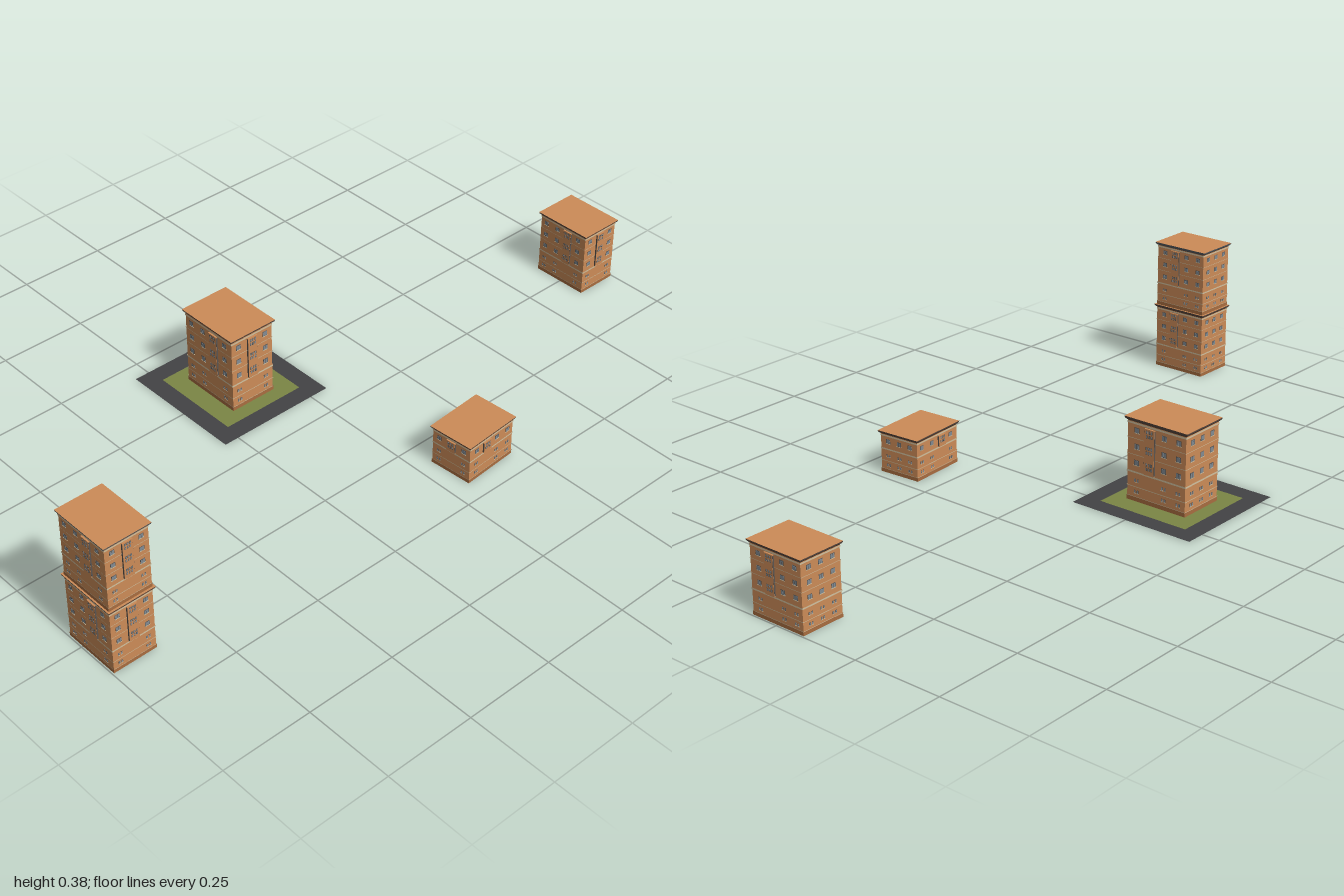
import * as THREE from 'three';
import { mergeGeometries } from 'three/addons/utils/BufferGeometryUtils.js';

const material = (name, color, side = THREE.FrontSide) => {
  const m = new THREE.MeshStandardMaterial({ color, side });
  m.name = name;
  return m;
};

const W = 0.121, D = 0.163, BASE = 0.0705, FLOOR = 0.0368, CORNICE = 0.009;

export function createModel() {
  const mats = {
    brick: material('brick', 0xcd8c58, THREE.DoubleSide),
    plinth: material('plinth brown', 0xa96d40, THREE.DoubleSide),
    trim: material('pale stone', 0xd2c2a0, THREE.DoubleSide),
    frame: material('window frame', 0x5a5450),
    glass: material('glass', 0x828c94),
    slate: material('slate grey', 0x5c6064, THREE.DoubleSide),
    brown: material('dark brown', 0x5e4c42, THREE.DoubleSide),
    road: material('asphalt', 0x434345, THREE.DoubleSide),
    grass: material('grass', 0x7b8645, THREE.DoubleSide),
  };
  const model = new THREE.Group();

  // Open rectangular tube or flare between two heights
  function ring(w0, d0, y0, w1, d1, y1) {
    const p = new THREE.BoxGeometry(1, 1, 1).toNonIndexed().attributes.position;
    const kept = [];
    for (let i = 0; i < p.count; i++) {
      if (i >= 12 && i < 24) continue; // leave out top and bottom
      const up = p.getY(i) > 0;
      kept.push(p.getX(i) * (up ? w1 : w0), up ? y1 : y0, p.getZ(i) * (up ? d1 : d0));
    }
    const out = new THREE.BufferGeometry();
    out.setAttribute('position', new THREE.Float32BufferAttribute(kept, 3));
    out.computeVertexNormals();
    return out;
  }

  function building(name, floors, corniceMat) {
    const group = new THREE.Group();
    group.name = name;
    const top = BASE + floors * FLOOR, H = top + CORNICE;
    const details = { brick: [], plinth: [], trim: [], frame: [], glass: [] };

    // Adds boxes onto one wall: u along it, y up, n outward from its face
    const wall = (angle, half) => (kind, w, h, d, u, y, n) => {
      const g = new THREE.BoxGeometry(w, h, d);
      g.translate(u, y, half + n);
      g.rotateY(angle);
      details[kind].push(g);
    };

    function windowUnit(put, u, y, w, h) {
      put('frame', w, h, 0.0012, u, y, 0);
      for (const s of [-1, 1])
        put('glass', w * 0.4, h * 0.82, 0.0018, u + s * w * 0.23, y, 0);
      put('trim', w * 1.15, 0.0012, 0.0025, u, y - h / 2, 0);
    }

    function facade(angle, length, half, columns, bayAt) {
      const put = wall(angle, half);
      // Small paired windows on the two lower storeys
      for (const y of [0.022, 0.048])
        for (const f of columns)
          for (const s of [-1, 1])
            windowUnit(put, (f - 0.5) * length + s * 0.004, y, 0.0045, 0.0075);
      // Larger windows on the upper floors
      for (let i = 0; i < floors; i++)
        for (const f of columns)
          windowUnit(put, (f - 0.5) * length, BASE + FLOOR * i + 0.018, 0.0135, 0.0125);
      if (bayAt === null) return;
      // Shallow projecting bay with a grid of panes and glazed flanks
      const u = (bayAt - 0.5) * length, h = floors * FLOOR - 0.006;
      const mid = BASE + h / 2 - 0.001;
      put('brick', 0.028, h, 0.008, u, mid, 0.0005);
      for (const s of [-1, 1]) put('frame', 0.0006, h - 0.004, 0.007, u + s * 0.0141, mid, 0.0006);
      for (let i = 0; i < floors; i++)
        for (const s of [-1, 0, 1])
          for (const dy of [-0.005, 0.005]) {
            const y = BASE + FLOOR * i + 0.018 + dy;
            put('frame', 0.0045, 0.007, 0.0012, u + s * 0.0068, y, 0.0043);
            put('glass', 0.0032, 0.0055, 0.0016, u + s * 0.0068, y, 0.0044);
          }
    }
    const side = [0.16, 0.63, 0.88];
    facade(0, W, D / 2, [0.17, 0.83], 0.5);
    facade(Math.PI / 2, D, W / 2, side, 0.39);
    facade(-Math.PI / 2, D, W / 2, side.map((f) => 1 - f), 0.61);
    facade(Math.PI, W, D / 2, [0.2, 0.5, 0.8], null);

    const add = (part, geo, mat) => {
      const m = new THREE.Mesh(geo, mat);
      m.name = part;
      group.add(m);
    };
    // Plinth and stone string courses run round all four walls
    details.plinth.push(ring(W + 0.002, D + 0.002, 0, W + 0.002, D + 0.002, 0.01));
    const courses = [[0.01, 0.0012], [0.033, 0.0015], [0.065, 0.004], [top - 0.005, 0.004]];
    for (let i = 1; i < floors; i++) courses.push([BASE + FLOOR * i - 0.001, 0.0012]);
    for (const [y, h] of courses)
      details.trim.push(ring(W + 0.0024, D + 0.0024, y, W + 0.0024, D + 0.0024, y + h));
    add('walls', ring(W, D, 0, W, D, top), mats.brick);
    add('cornice', mergeGeometries([
      ring(W, D, top, W + 0.009, D + 0.011, top + 0.005),
      ring(W + 0.009, D + 0.011, top + 0.005, W + 0.011, D + 0.013, H),
    ]), corniceMat);
    const roof = new THREE.PlaneGeometry(W + 0.011, D + 0.013);
    roof.rotateX(-Math.PI / 2);
    roof.translate(0, H, 0);
    add('roof', roof, mats.brick);
    const names = { brick: 'bays', plinth: 'plinth', trim: 'stringCourses', frame: 'windowFrames', glass: 'windowPanes' };
    for (const kind in details) {
      const flat = details[kind].map((g) => {
        const n = g.index ? g.toNonIndexed() : g;
        n.deleteAttribute('uv');
        return n;
      });
      add(names[kind], mergeGeometries(flat), mats[kind]);
    }
    model.add(group);
    return group;
  }

  // Two stacked blocks form the tower
  building('towerLower', 3, mats.brown).position.set(-0.934, 0, 0.283);
  building('towerUpper', 3, mats.slate).position.set(-0.934, 0.19, 0.283);
  building('rightBlock', 3, mats.brown).position.set(0.934, 0, -0.002);

  // Larger block on the lawn
  const central = building('centralBlock', 3, mats.brown);
  central.position.set(-0.12, 0, -0.264);
  central.scale.set(1.12, 1.2, 1.12);

  // Low block, turned sideways
  const low = building('lowBlock', 1, mats.brown);
  low.position.set(0.136, 0, 0.376);
  low.rotation.y = -Math.PI / 2 + 0.07;

  // Paved border with a lawn set into it
  const rect = (target, w, d) => {
    target.moveTo(-w / 2, -d / 2);
    target.lineTo(w / 2, -d / 2);
    target.lineTo(w / 2, d / 2);
    target.lineTo(-w / 2, d / 2);
    target.closePath();
    return target;
  };
  const border = rect(new THREE.Shape(), 0.347, 0.369);
  border.holes.push(rect(new THREE.Path(), 0.246, 0.268));
  const ground = [
    ['road', new THREE.ShapeGeometry(border), mats.road],
    ['lawn', new THREE.PlaneGeometry(0.246, 0.268), mats.grass],
  ];
  for (const [name, geo, mat] of ground) {
    const m = new THREE.Mesh(geo, mat);
    m.name = name;
    m.rotation.x = -Math.PI / 2;
    m.position.set(-0.119, 0.0005, -0.265);
    model.add(m);
  }
  return model;
}
